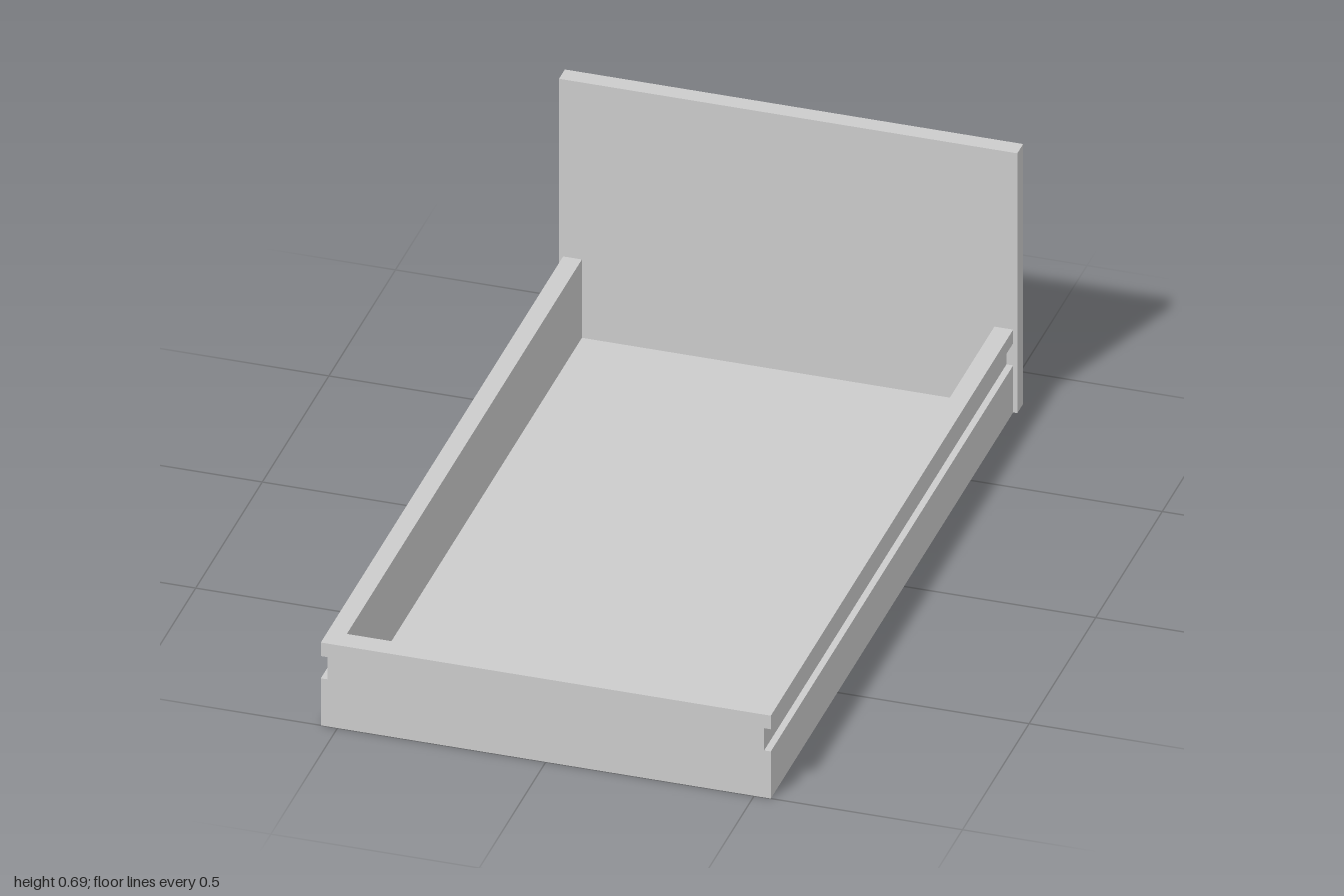
import * as THREE from 'three';

const material = new THREE.MeshStandardMaterial({ color: 0xcccccc });

function addPart(group, name, geometry) {
  const mesh = new THREE.Mesh(geometry, material);
  mesh.name = name;
  group.add(mesh);
  return mesh;
}

// Extrude a profile that is mirrored about x = 0, from z0 to z1
function mirroredExtrusion(half, z0, z1) {
  const left = half.map(([x, y]) => new THREE.Vector2(x, y));
  const right = half.map(([x, y]) => new THREE.Vector2(-x, y)).reverse();
  const geometry = new THREE.ExtrudeGeometry(new THREE.Shape([...left, ...right]), {
    depth: z1 - z0, bevelEnabled: false,
  });
  return geometry.translate(0, 0, z0);
}

// Panel whose back edges are slightly chamfered
function panelGeometry(width, height, zFront, zBack, chamfer) {
  const box = new THREE.BoxGeometry(width, height, 2, 1, 1, 2);
  const p = box.attributes.position;
  for (let i = 0; i < p.count; i++) {
    const z = p.getZ(i);
    if (z > 0.5) p.setZ(i, zFront);
    else if (z > -0.5) p.setZ(i, zBack + chamfer);
    else {
      p.setXYZ(i, p.getX(i) - Math.sign(p.getX(i)) * chamfer,
        p.getY(i) - Math.sign(p.getY(i)) * chamfer, zBack);
    }
  }
  const geometry = box.toNonIndexed();
  geometry.computeVertexNormals();
  return geometry.translate(0, height / 2, 0);
}

// Arched handle: oval sections spanning an inner and an outer half ellipse
function handleGeometry(steps = 32, sides = 20) {
  const positions = [], index = [];
  for (let i = 0; i <= steps; i++) {
    const u = (i / steps) * Math.PI;
    const c = Math.cos(u), s = Math.sin(u);
    const outer = new THREE.Vector2(0.19 * c, -0.13 * s);
    const inner = new THREE.Vector2(0.11 * c, -0.108 * s);
    const halfHeight = 0.027 - 0.012 * s;
    for (let j = 0; j < sides; j++) {
      const v = (j / sides) * Math.PI * 2;
      const q = inner.clone().lerp(outer, 0.5 + 0.5 * Math.cos(v));
      positions.push(q.x, halfHeight * Math.sin(v) + 0.004 * s, q.y);
      if (i < steps) {
        const a = i * sides + j, b = i * sides + (j + 1) % sides;
        index.push(a, a + sides, b, b, a + sides, b + sides);
      }
    }
  }
  const geometry = new THREE.BufferGeometry();
  geometry.setAttribute('position', new THREE.Float32BufferAttribute(positions, 3));
  geometry.setIndex(index);
  geometry.computeVertexNormals();
  return geometry;
}

export function createModel() {
  const group = new THREE.Group();
  group.name = 'drawer';

  // Outer side of the tray with its runner groove
  const side = [[0.54, 0], [0.54, 0.125], [0.524, 0.125], [0.524, 0.184], [0.54, 0.184], [0.54, 0.22]];

  // Tray floor and side walls, then the closed end wall
  addPart(group, 'trayFloorAndSides',
    mirroredExtrusion([...side, [0.495, 0.22], [0.495, 0.012]], -0.82, 0.945));
  addPart(group, 'trayEndWall', mirroredExtrusion(side, 0.945, 1));

  // Tall face panel
  addPart(group, 'facePanel', panelGeometry(1.1, 0.69, -0.82, -0.87, 0.006));

  // Pull handle
  addPart(group, 'handle', handleGeometry()).position.set(0.01, 0.511, -0.87);

  return group;
}
